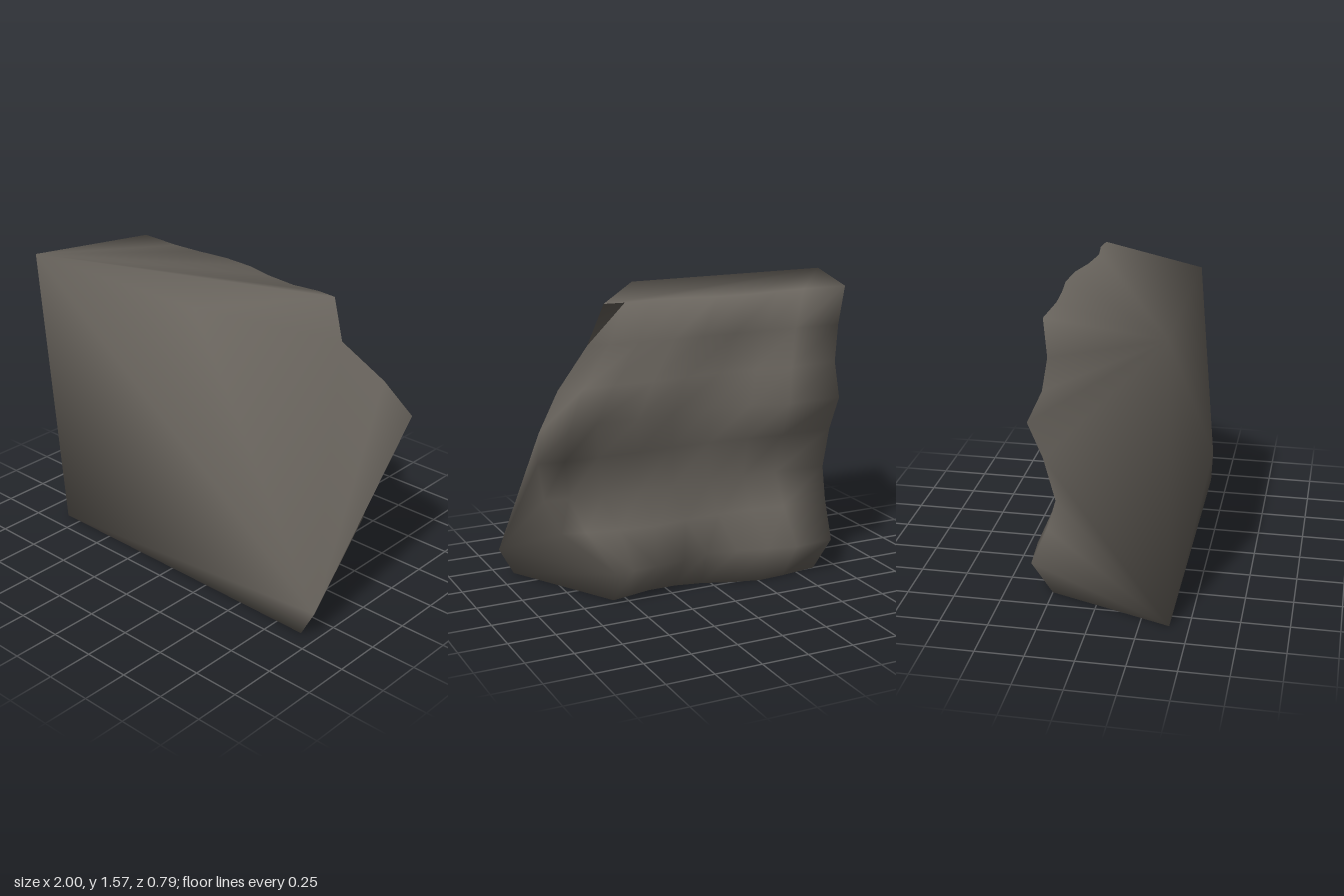
import * as THREE from 'three';

// Back surface in horizontal rows: [height, right edge x, left edge x, depths from right to left]
const SPACING = [0, 0.08, 0.19, 0.32, 0.44, 0.57, 0.7, 0.82, 1];
const ROWS = [
  [0.00, 0.57, -0.62, [-0.21, -0.19, -0.16, -0.16, -0.19, -0.25, -0.29, -0.28, -0.25]],
  [0.19, 0.60, -0.67, [-0.33, -0.32, -0.31, -0.29, -0.25, -0.29, -0.33, -0.37, -0.35]],
  [0.40, 0.84, -0.68, [-0.18, -0.22, -0.26, -0.28, -0.26, -0.25, -0.26, -0.28, -0.26]],
  [0.57, 0.91, -0.69, [-0.13, -0.15, -0.18, -0.19, -0.18, -0.18, -0.18, -0.19, -0.21]],
  [0.80, 0.97, -0.69, [-0.22, -0.25, -0.25, -0.25, -0.24, -0.24, -0.26, -0.28, -0.27]],
  [0.99, 1.00, -0.70, [-0.335, -0.39, -0.29, -0.30, -0.28, -0.25, -0.29, -0.35, -0.345]],
  [1.17, 0.87, -0.72, [-0.26, -0.28, -0.27, -0.28, -0.26, -0.24, -0.26, -0.29, -0.26]],
  [1.36, 0.67, -0.76, [-0.16, -0.18, -0.19, -0.20, -0.20, -0.20, -0.20, -0.21, -0.22]],
  [1.57, 0.59, -0.79, [-0.19, -0.20, -0.18, -0.20, -0.24, -0.25, -0.23, -0.22, -0.23]],
];

// Corners of the flat front face, counter-clockwise from the top corner at -x
const FRONT = [
  [-1, 1.57, 0.4], [-0.85, 0, 0.4], [0.91, 0, 0.4], [0.99, 0.15, 0.4], [0.18, 1.57, 0.4],
];

function rockGeometry() {
  const cols = SPACING.length;
  const last = cols - 1;
  const top = ROWS.length - 1;
  const positions = FRONT.flat();
  for (const [y, xr, xl, depths] of ROWS) {
    depths.forEach((z, i) => positions.push(xr + (xl - xr) * SPACING[i], y, z));
  }
  const [A, B, C, D, E] = [0, 1, 2, 3, 4];
  const p = (row, col) => FRONT.length + row * cols + col;
  const index = [];
  const tri = (a, b, c) => index.push(a, b, c);

  // Flat front
  tri(B, C, D);
  tri(A, B, D);
  tri(A, D, E);

  // Lumpy back
  for (let j = 0; j < top; j++) {
    for (let i = 0; i < last; i++) {
      tri(p(j, i), p(j, i + 1), p(j + 1, i + 1));
      tri(p(j, i), p(j + 1, i + 1), p(j + 1, i));
    }
  }

  // Side at -x, fanned from the two front corners
  for (let j = 0; j < top; j++) tri(p(j, last), j < 4 ? B : A, p(j + 1, last));
  tri(p(4, last), B, A);

  // Side at +x: undercut foot, lower facet and sloping upper cut
  for (let j = 0; j < top; j++) tri(j < 1 ? C : j < 7 ? D : E, p(j, 0), p(j + 1, 0));
  tri(C, p(1, 0), D);
  tri(D, p(7, 0), E);

  // Top and base
  tri(A, E, p(top, 0));
  tri(B, p(0, 0), C);
  for (let i = 0; i < last; i++) {
    tri(A, p(top, i), p(top, i + 1));
    tri(B, p(0, i + 1), p(0, i));
  }

  const geometry = new THREE.BufferGeometry();
  geometry.setAttribute('position', new THREE.Float32BufferAttribute(positions, 3));
  geometry.setIndex(index);
  geometry.computeVertexNormals();
  return geometry;
}

export function createModel() {
  const stone = new THREE.MeshStandardMaterial({ color: 0x6b665f });
  stone.name = 'stone';
  const rock = new THREE.Mesh(rockGeometry(), stone);
  rock.name = 'rockSlab';
  const group = new THREE.Group();
  group.name = 'rock';
  group.add(rock);
  return group;
}
